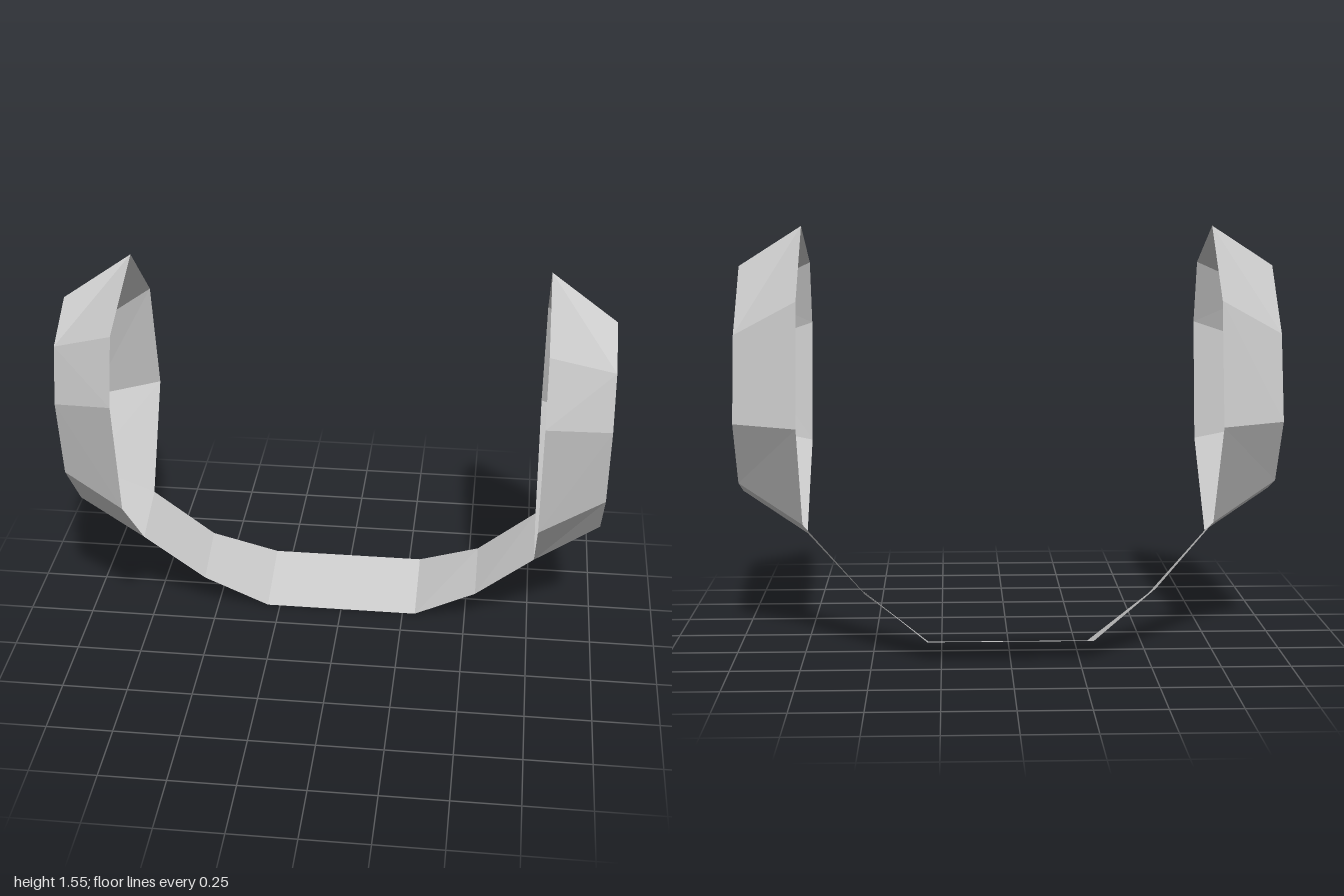
import * as THREE from 'three';

const material = new THREE.MeshStandardMaterial({
  color: 0xcccccc, flatShading: true, side: THREE.DoubleSide,
});

// Outlines as [z, y], counter-clockwise seen from +x
const RIM = [[-0.04, 1.56], [0.34, 1.41], [0.415, 1.17], [0.34, 0.71],
  [0.03, 0.395], [-0.19, 0.47], [-0.41, 0.855], [-0.32, 1.3]];
const CAP = [[0.03, 1.41], [0.215, 1.3], [0.27, 1.095], [0.215, 0.78],
  [0.03, 0.56], [-0.12, 0.615], [-0.265, 0.855], [-0.19, 1.17]];
const RIM_X = 0.76;
const CAP_X = 1;

// Half of the band: x, front edge [z, y], back edge [z, y]
const BAND = [
  { x: 0.3, front: [-0.12, 0.005], back: [-0.41, 0.08] },
  { x: 0.54, front: [-0.045, 0.17], back: [-0.27, 0.24] },
  { x: RIM_X, front: RIM[4], back: RIM[5] },
];

function facetedMesh(name, points, triangles) {
  const indexed = new THREE.BufferGeometry();
  indexed.setAttribute('position', new THREE.Float32BufferAttribute(points.flat(), 3));
  indexed.setIndex(triangles.flat());
  const geometry = indexed.toNonIndexed();
  geometry.computeVertexNormals();
  const mesh = new THREE.Mesh(geometry, material);
  mesh.name = name;
  return mesh;
}

// Hollow ear cup: sloping wall and flat outer cap, open towards the head
function earCup(name, side) {
  const n = RIM.length;
  const points = [
    ...RIM.map(([z, y]) => [side * RIM_X, y, z]),
    ...CAP.map(([z, y]) => [side * CAP_X, y, z]),
  ];
  const triangles = [];
  for (let i = 0; i < n; i++) {
    const j = (i + 1) % n;
    // the topmost facet folds along the other diagonal
    if (i === 0) triangles.push([i, j, n + j], [i, n + j, n + i]);
    else triangles.push([i, j, n + i], [j, n + j, n + i]);
    if (i > 0 && i < n - 1) triangles.push([n, n + i, n + j]);
  }
  if (side < 0) triangles.forEach((t) => t.reverse());
  return facetedMesh(name, points, triangles);
}

// Thin band joining the two cups in one curved strip
function neckBand() {
  const mirrored = BAND.map((s) => ({ ...s, x: -s.x })).reverse();
  const points = [];
  const triangles = [];
  [...mirrored, ...BAND].forEach(({ x, front, back }, i) => {
    points.push([x, front[1], front[0]], [x, back[1], back[0]]);
    if (i > 0) {
      const a = 2 * (i - 1);
      triangles.push([a, a + 2, a + 3], [a, a + 3, a + 1]);
    }
  });
  return facetedMesh('neckBand', points, triangles);
}

export function createModel() {
  const model = new THREE.Group();
  model.name = 'headphones';
  model.add(earCup('leftEarCup', 1), earCup('rightEarCup', -1), neckBand());
  return model;
}
